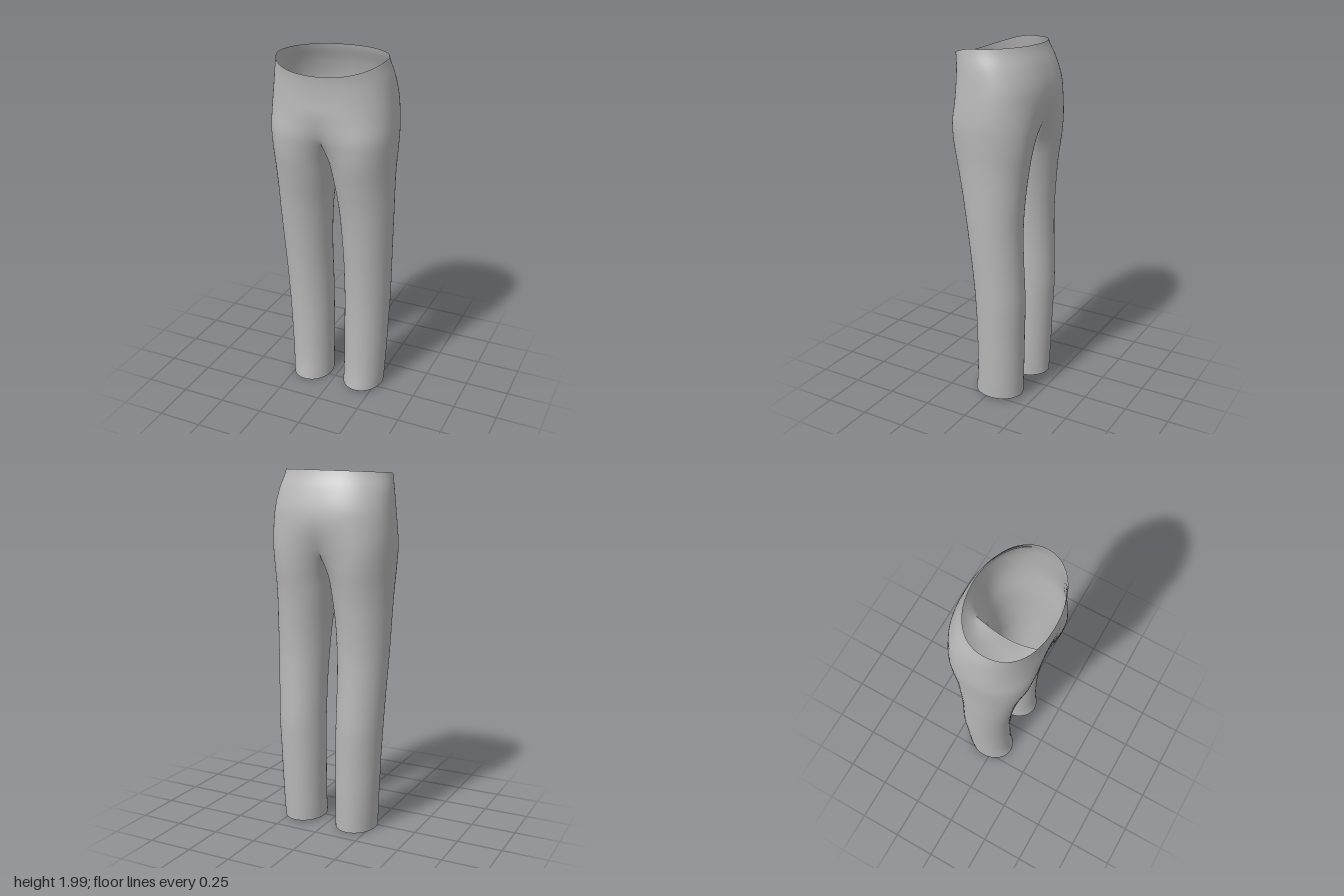
import * as THREE from 'three';
import { mergeVertices } from 'three/addons/utils/BufferGeometryUtils.js';

// Outline of the trousers, sampled every 0.1 units of height from hem to waist
const FRONT = [.107, .095, .09, .089, .089, .091, .095, .102, .111, .122, .134, .148, .164, .184, .205, .227, .244, .24, .235, .24, .258];
const BACK = [.175, .178, .181, .183, .185, .188, .19, .186, .181, .177, .175, .178, .185, .194, .207, .226, .243, .249, .242, .215, .176];
const OUTER = [.279, .285, .29, .295, .299, .304, .309, .313, .317, .321, .325, .328, .33, .332, .336, .342, .346, .342, .333, .321, .3];
const INNER = [.046, .046, .046, .046, .046, .047, .048, .048, .048, .046, .042, .037, .029, .017, .006, .001, 0, 0, 0, 0, 0];

// Smooth (Catmull-Rom) lookup in a profile
function at(p, y) {
  const f = Math.min(Math.max(y * 10, 0), 19.9999), i = Math.floor(f), t = f - i;
  const a = p[Math.max(i - 1, 0)], b = p[i], c = p[i + 1], d = p[Math.min(i + 2, 20)];
  return b + 0.5 * t * (c - a + t * (2 * a - 5 * b + 4 * c - d + t * (3 * (b - c) + d - a)));
}

const OVERLAP = 0.85;                 // how far the inner thigh arc starts past the leg's front
const SEAM_END = 1.57, SEAM_LOW = 1.48; // heights of the crotch seam
const sgnPow = (v, e) => Math.sign(v) * Math.pow(Math.abs(v), e);

function section(y) {
  const f = at(FRONT, y), b = at(BACK, y), o = at(OUTER, y), i = at(INNER, y);
  return {
    zc: (f - b) / 2, rz: (f + b) / 2, o, cx: (o + i) / 2, rx: (o - i) / 2,
    w: THREE.MathUtils.smoothstep(y, 1.4, 1.76), // 0 = two legs, 1 = one hip
  };
}

// Outer surface: t runs from front centre (0) round the hip to back centre (PI)
function outerPoint(t, y, pull) {
  const s = section(y);
  const phi = -OVERLAP + t / Math.PI * (Math.PI + 2 * OVERLAP);
  const edge = Math.min(t, Math.PI - t);
  const endX = s.cx - s.rx * Math.sin(OVERLAP);
  const legX = s.cx + s.rx * Math.sin(phi) - endX * Math.exp(-((edge / 0.3) ** 2)) * pull;
  const e = THREE.MathUtils.lerp(0.83, 0.95, THREE.MathUtils.smoothstep(y, 1.75, 2));
  const hipX = s.o * Math.pow(Math.max(Math.sin(t), 0), e);
  const hipZ = sgnPow(Math.cos(t), e);
  return [
    THREE.MathUtils.lerp(legX, hipX, s.w), y,
    s.zc + s.rz * THREE.MathUtils.lerp(Math.cos(phi), hipZ, s.w),
  ];
}

// Inner thigh: q runs from back (1) to front (-1)
function innerPoint(q, y, pull) {
  const s = section(y);
  const phi = 1.5 * Math.PI - q * (Math.PI / 2 - OVERLAP);
  const x = (s.cx + s.rx * Math.sin(phi)) * (1 - pull);
  return [x * (1 - s.w), y, s.zc + s.rz * THREE.MathUtils.lerp(Math.cos(phi), -q, s.w)];
}

function trouserGeometry() {
  const pos = [], index = [];
  const LEG = 56, HIP = 20, OUT = 48, IN = 16;

  // Adds a grid of points for one side (+1 left, -1 right)
  const addGrid = (cols, rows, side, point) => {
    const base = pos.length / 3;
    for (let j = 0; j <= rows; j++) {
      for (let i = 0; i <= cols; i++) {
        const [x, y, z] = point(i / cols, j);
        // the legs lean very slightly to the left towards the hem
        const lean = 0.007 * Math.max(0, 1 - y / 1.4);
        pos.push(side * x + lean, y, z);
        if (i === cols || j === rows) continue;
        const a = base + j * (cols + 1) + i, b = a + 1, c = a + cols + 1, d = c + 1;
        if (side > 0) index.push(a, b, d, a, d, c);
        else index.push(a, d, b, a, c, d);
      }
    }
  };

  for (const side of [1, -1]) {
    const hem = side > 0 ? 0.02 : 0.008;
    // Outside of the leg, continuing up into the hip and waist
    addGrid(OUT, LEG + HIP, side, (u, j) => {
      const t = u * Math.PI;
      if (j <= LEG) {
        const s = j / LEG;
        return outerPoint(t, hem + (SEAM_END - hem) * s, s ** 14);
      }
      const front = Math.max(Math.cos(t), 0);
      const top = 1.99 - 0.062 * front ** 1.5 + 0.008 * Math.max(-Math.cos(t), 0)
        + side * 0.006 * Math.sin(t);
      return outerPoint(t, SEAM_END + (top - SEAM_END) * (j - LEG) / HIP, 1);
    });
    // Inside of the leg, ending on the arched crotch seam
    addGrid(IN, LEG, side, (u, j) => {
      const q = 1 - 2 * u, s = j / LEG;
      const seam = SEAM_LOW + (SEAM_END - SEAM_LOW) * q * q;
      return innerPoint(q, hem + (seam - hem) * s, s ** 14);
    });
  }

  let geo = new THREE.BufferGeometry();
  geo.setAttribute('position', new THREE.Float32BufferAttribute(pos, 3));
  geo.setIndex(index);
  geo = mergeVertices(geo, 1e-5); // weld the seams so shading is smooth
  geo.computeVertexNormals();
  return geo;
}

export function createModel() {
  const group = new THREE.Group();
  group.name = 'trousers';
  const cloth = new THREE.MeshStandardMaterial({ color: 0xb8b8b8, side: THREE.DoubleSide });
  cloth.name = 'grey cloth';
  const mesh = new THREE.Mesh(trouserGeometry(), cloth);
  mesh.name = 'trouserCloth';
  group.add(mesh);
  return group;
}
